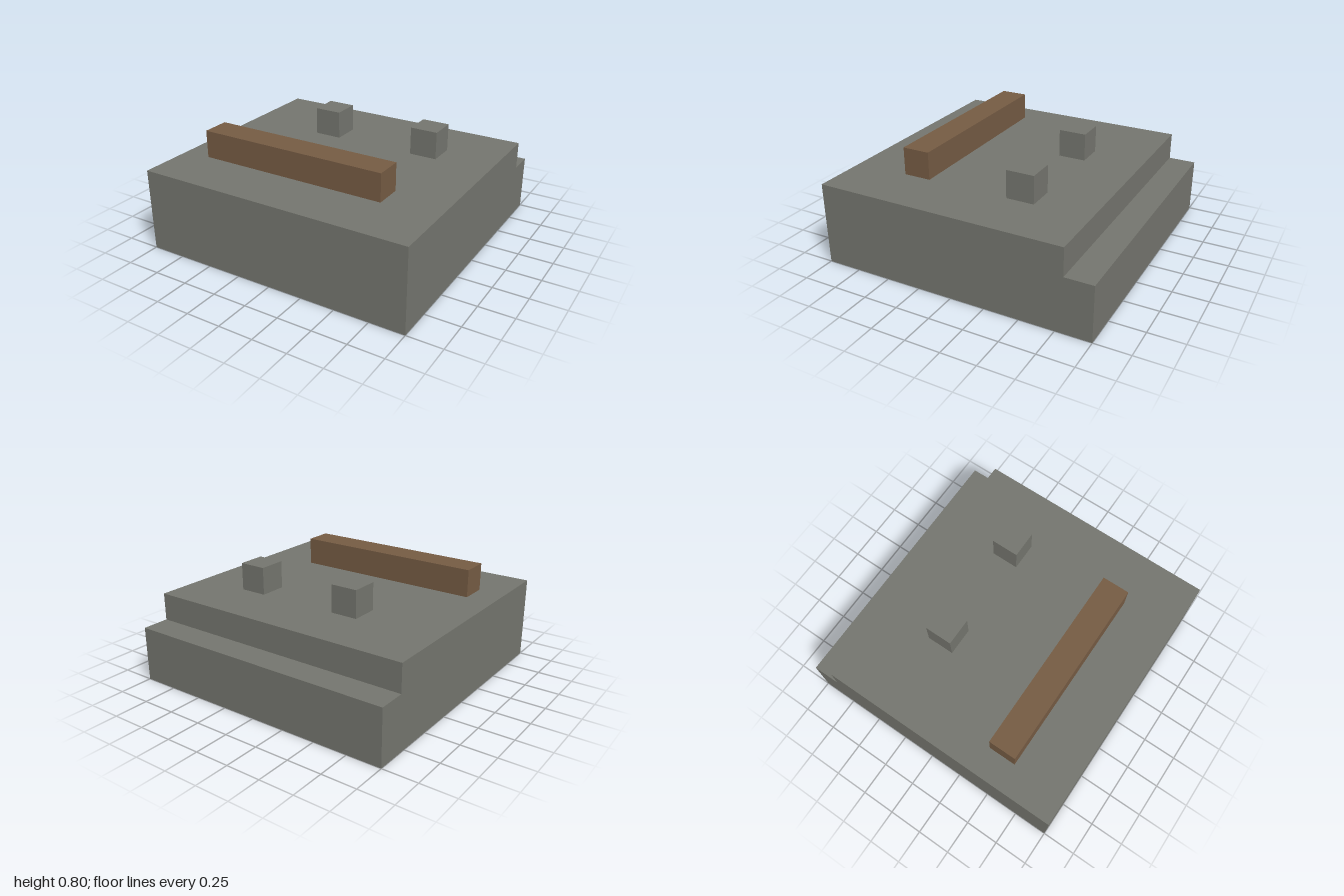
import * as THREE from 'three';

export function createModel() {
  const model = new THREE.Group();
  const stone = new THREE.MeshStandardMaterial({ color: 0x74756e });
  stone.name = 'grey stone';
  const wood = new THREE.MeshStandardMaterial({ color: 0x755b43 });
  wood.name = 'brown wood';

  const add = (name, geometry, material, x = 0, y = 0, z = 0) => {
    const mesh = new THREE.Mesh(geometry, material);
    mesh.name = name;
    mesh.position.set(x, y, z);
    model.add(mesh);
  };

  // Slab with a step along the back: side profile swept across the width
  const profile = new THREE.Shape(
    [[-1, 0], [1, 0], [1, 0.4], [0.8, 0.4], [0.8, 0.6], [-1, 0.6]]
      .map(([x, y]) => new THREE.Vector2(x, y))
  );
  const slab = new THREE.ExtrudeGeometry(profile, { depth: 2, bevelEnabled: false });
  slab.translate(0, 0, -1).rotateY(Math.PI / 2);
  add('steppedBase', slab, stone);

  // Two small blocks on top, towards the back
  const block = new THREE.BoxGeometry(0.2, 0.2, 0.2);
  add('rightBlock', block, stone, -0.3, 0.7, -0.3);
  add('leftBlock', block, stone, 0.5, 0.7, -0.3);

  // Long beam near the front
  add('beam', new THREE.BoxGeometry(1.4, 0.2, 0.2), wood, -0.1, 0.7, 0.5);

  return model;
}
